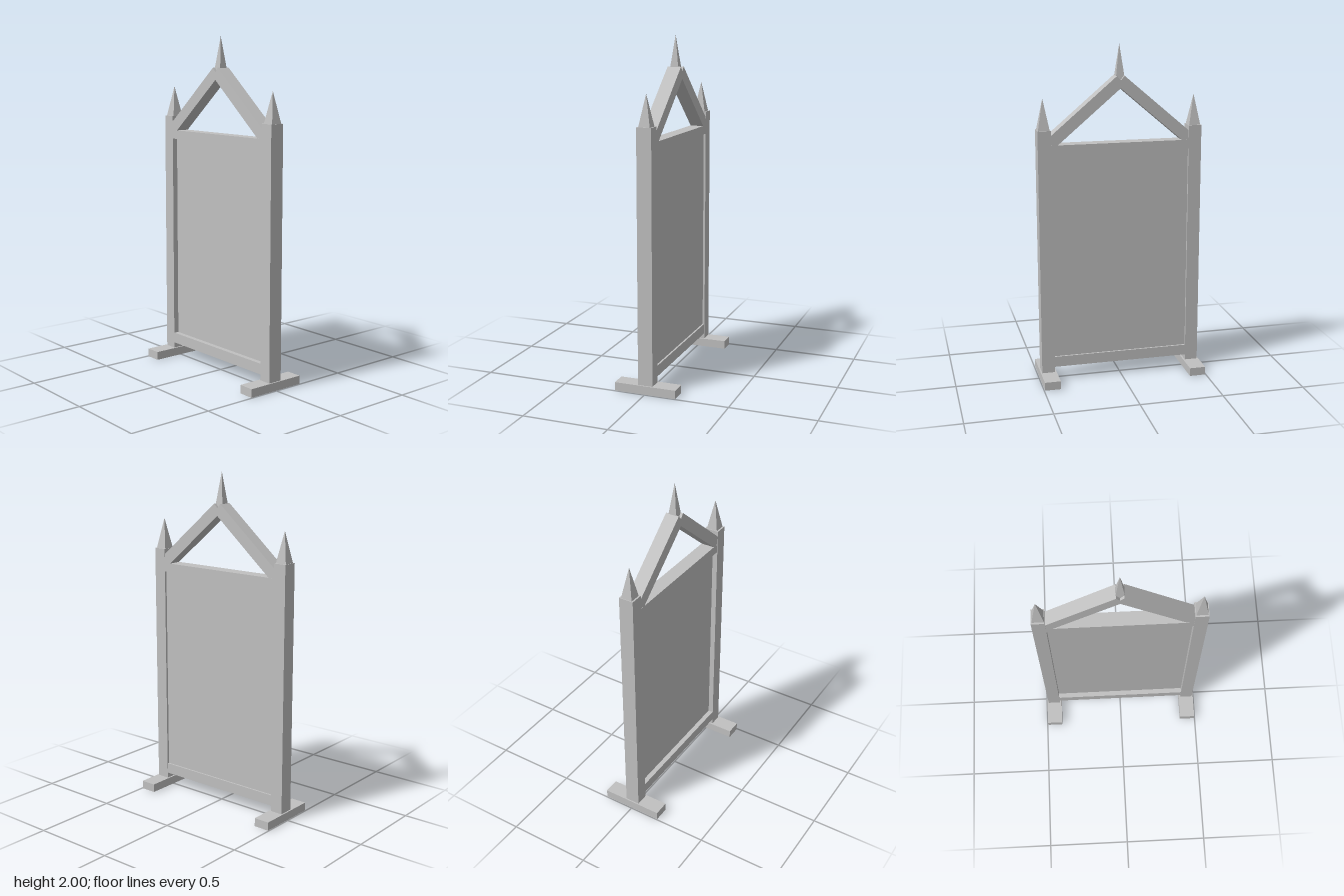
import * as THREE from 'three';

export function createModel() {
  const model = new THREE.Group();
  model.name = 'signStand';
  const grey = new THREE.MeshStandardMaterial({ color: 0xc0c0c0 });
  grey.name = 'plain grey';

  function add(name, geometry, x, y, z = 0) {
    const mesh = new THREE.Mesh(geometry, grey);
    mesh.name = name;
    mesh.position.set(x, y, z);
    model.add(mesh);
    return mesh;
  }

  // Box given by its centre x, its bottom and top, and its back and front
  function box(name, x, width, y0, y1, z0, z1) {
    return add(name, new THREE.BoxGeometry(width, y1 - y0, z1 - z0), x, (y0 + y1) / 2, (z0 + z1) / 2);
  }

  // Square pyramid with its sides facing the axes
  function spike(name, x, half, y0, y1) {
    const geometry = new THREE.ConeGeometry(half * Math.SQRT2, y1 - y0, 4).rotateY(Math.PI / 4).toNonIndexed();
    geometry.computeVertexNormals();
    return add(name, geometry, x, (y0 + y1) / 2);
  }

  // Gable slope: beams meet at the peak with square-cut ends, leaving a small notch
  const peak = 1.794, reach = 0.45, pitch = Math.atan(0.85);

  for (const [side, s] of [['left', 1], ['right', -1]]) {
    box(side + 'Foot', s * 0.447, 0.096, 0, 0.05, -0.185, 0.185);
    box(side + 'Post', s * 0.448, 0.077, 0.05, 1.52, -0.044, 0.044);
    spike(side + 'PostSpike', s * 0.448, 0.034, 1.52, 1.7);
    const beam = add(side + 'GableBeam',
      new THREE.BoxGeometry(reach / Math.cos(pitch), 0.068, 0.082),
      s * reach / 2, peak - reach * 0.85 / 2);
    beam.rotation.z = -s * pitch;
  }
  spike('peakSpike', 0, 0.0307, 1.77, 2);

  // Rails and the panel, which sits deeper at the front than at the back
  box('bottomRail', 0, 0.83, 0.083, 0.147, -0.042, 0.042);
  box('topRail', 0, 0.83, 1.382, 1.435, -0.042, 0.042);
  box('panel', 0, 0.83, 0.14, 1.39, -0.031, 0.012);

  return model;
}
